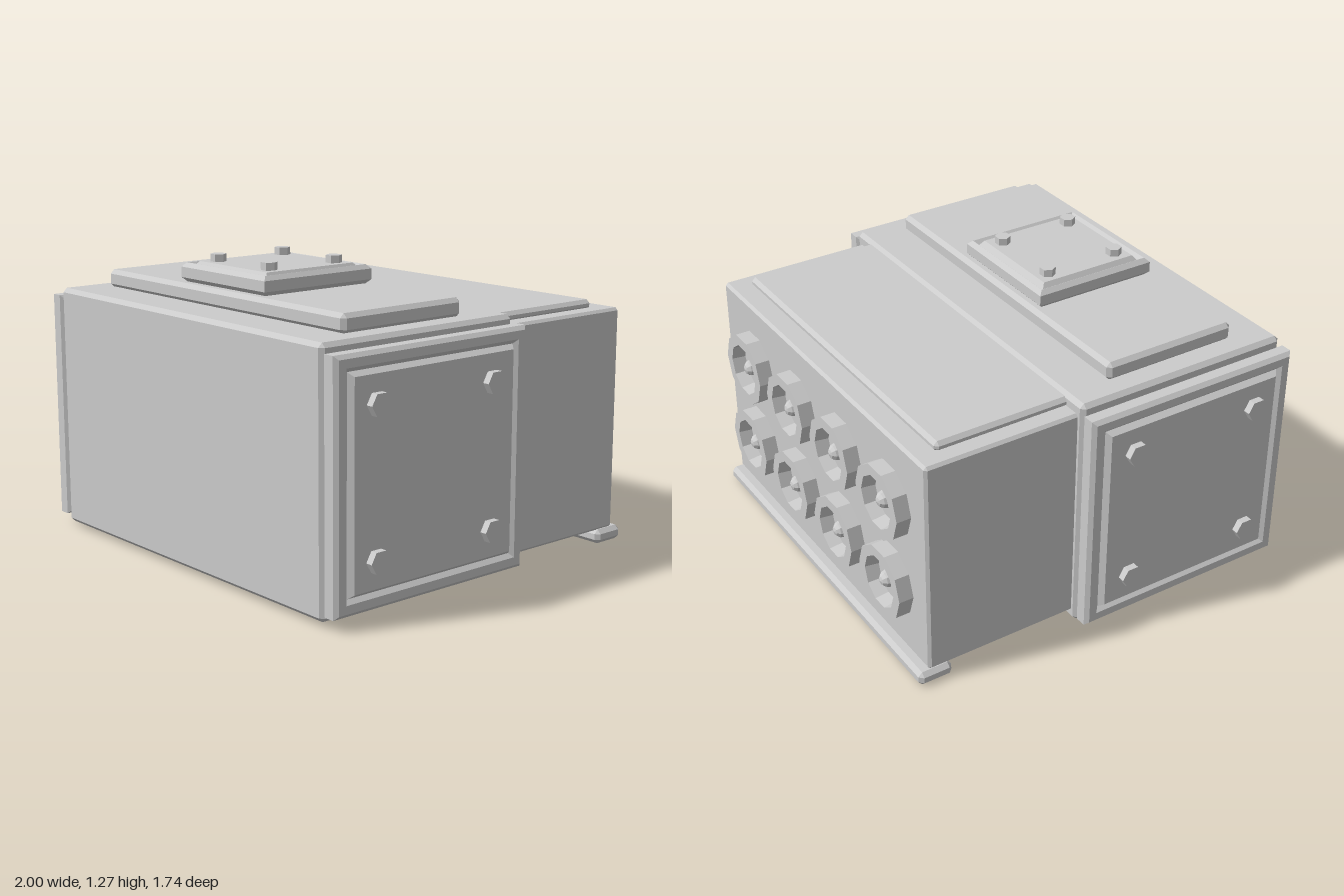
import * as THREE from 'three';
import { ConvexGeometry } from 'three/addons/geometries/ConvexGeometry.js';

const grey = new THREE.MeshStandardMaterial({ color: 0xcccccc });
grey.name = 'paintedSteelGrey';

// Separate the faces so every facet is shaded flat
function facet(geometry) {
  const flat = geometry.index ? geometry.toNonIndexed() : geometry;
  flat.computeVertexNormals();
  return flat;
}

function add(parent, name, geometry, x = 0, y = 0, z = 0) {
  const mesh = new THREE.Mesh(geometry, grey);
  mesh.name = name;
  mesh.position.set(x, y, z);
  parent.add(mesh);
  return mesh;
}

// Box between two corners with every edge chamfered by c
function chamferBox([x0, y0, z0], [x1, y1, z1], c) {
  const points = [];
  for (const [x, sx] of [[x0, 1], [x1, -1]])
    for (const [y, sy] of [[y0, 1], [y1, -1]])
      for (const [z, sz] of [[z0, 1], [z1, -1]])
        points.push(
          new THREE.Vector3(x, y + sy * c, z + sz * c),
          new THREE.Vector3(x + sx * c, y, z + sz * c),
          new THREE.Vector3(x + sx * c, y + sy * c, z));
  return new ConvexGeometry(points);
}

// Profile of [radius, height] turned around y with a given number of sides
function turned(profile, sides, start, scale = 1) {
  const points = profile.map(([r, h]) => new THREE.Vector2(r * scale, h));
  return facet(new THREE.LatheGeometry(points, sides, start));
}

// Square chamfered plate whose raised centre panel is set off by a groove
function groovedPlate(half, thick, c, grooveOut, panelHalf) {
  const floor = thick - 0.018;
  return turned([
    [0, 0], [half - c, 0], [half, c], [half, thick - c], [half - c, thick],
    [grooveOut, thick], [grooveOut - 0.018, floor],
    [panelHalf + 0.018, floor], [panelHalf, thick + 0.006], [0, thick + 0.006],
  ], 4, Math.PI / 4, Math.SQRT2);
}

export function createModel() {
  const model = new THREE.Group();
  model.name = 'machineHousing';

  // Main housings, rear foot rail and raised lids
  add(model, 'frontHousing', chamferBox([-0.885, 0.02, -0.125], [0.885, 1.08, 0.868], 0.018));
  add(model, 'rearHousing', chamferBox([-0.855, 0.06, -0.81], [0.855, 1.03, -0.05], 0.012));
  add(model, 'footRail', chamferBox([-0.867, 0, -0.858], [0.867, 0.062, -0.705], 0.018));
  add(model, 'rearLid', chamferBox([-0.78, 1.02, -0.718], [0.78, 1.065, -0.1], 0.016));
  add(model, 'frontLid', chamferBox([-0.79, 1.075, 0.066], [0.79, 1.155, 0.683], 0.018));

  // Square hatch on the lid, with four hex bolts
  const hatch = new THREE.Group();
  hatch.name = 'topHatch';
  hatch.position.set(0, 1.155, 0.37);
  model.add(hatch);
  add(hatch, 'hatchPlate', groovedPlate(0.281, 0.08, 0.018, 0.262, 0.226));
  const hatchBolt = facet(new THREE.CylinderGeometry(0.034, 0.034, 0.06, 6).rotateY(Math.PI / 2));
  for (const x of [-0.17, 0.17])
    for (const z of [-0.17, 0.17]) add(hatch, 'hatchBolt', hatchBolt, x, 0.088, z);

  // Bolted access plate on each side
  const sidePlate = groovedPlate(0.497, 0.08, 0.016, 0.447, 0.412);
  const sideBolt = facet(new THREE.CylinderGeometry(0.049, 0.049, 0.06, 6));
  for (const side of [-1, 1]) {
    const plate = new THREE.Group();
    plate.name = side > 0 ? 'leftSidePlate' : 'rightSidePlate';
    plate.position.set(side * 0.884, 0.548, 0.371);
    plate.rotation.z = -side * Math.PI / 2;
    model.add(plate);
    add(plate, 'sidePanel', sidePlate);
    for (const u of [-0.3, 0.3])
      for (const v of [-0.3, 0.3]) add(plate, 'sideBolt', sideBolt, u, 0.086, v + 0.005);
  }

  // Two rows of ten-sided sockets with a centre knob on the back
  const socketRing = turned([
    [0.161, 0], [0.161, 0.066], [0.114, 0.066], [0.104, 0.008], [0, 0.008],
  ], 10, Math.PI / 2);
  const socketKnob = facet(new THREE.SphereGeometry(0.037, 8, 6));
  for (const y of [0.355, 0.742])
    for (let i = 0; i < 4; i++) {
      const socket = new THREE.Group();
      socket.name = 'rearSocket';
      socket.position.set((i - 1.5) * 0.387 - 0.003, y, -0.808);
      socket.rotation.x = -Math.PI / 2;
      model.add(socket);
      add(socket, 'socketRing', socketRing);
      add(socket, 'socketKnob', socketKnob, 0, 0.024, 0);
    }

  return model;
}
